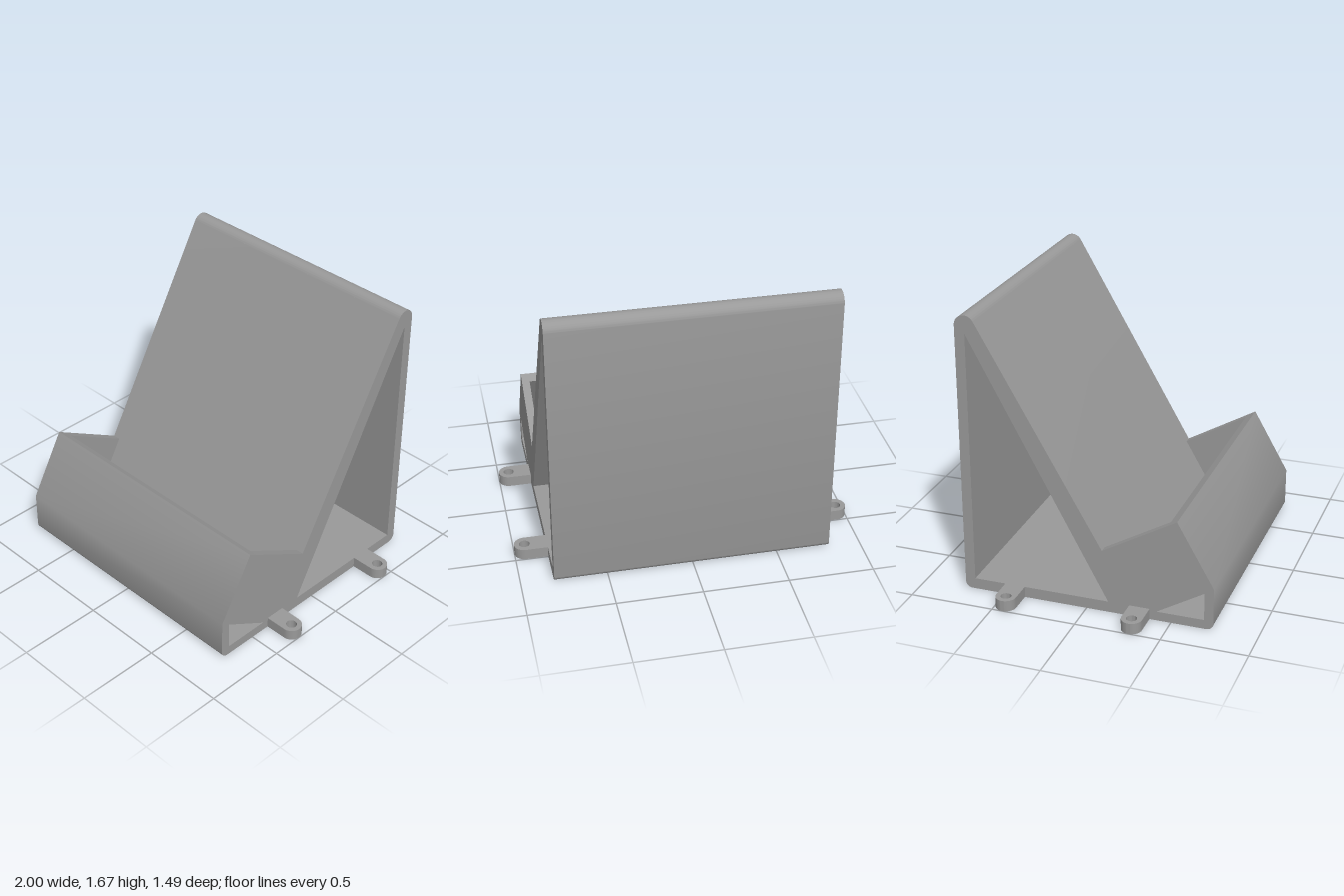
import * as THREE from 'three';
import { toCreasedNormals } from 'three/addons/utils/BufferGeometryUtils.js';

const HALF_WIDTH = 0.81;
const CHEEK = 0.047;

const polygon = (Type, points) => new Type(points.map(([a, b]) => new THREE.Vector2(a, b)));

const extrude = (shape, depth) =>
  new THREE.ExtrudeGeometry(shape, { depth, bevelEnabled: false, curveSegments: 20 });

// Extrudes a (z, y) side profile across x, starting at x0
function extrudeAcross(shape, x0, width) {
  const geometry = extrude(shape, width);
  geometry.rotateY(-Math.PI / 2).translate(x0 + width, 0, 0);
  return toCreasedNormals(geometry, 0.6);
}

export function createModel() {
  const group = new THREE.Group();
  const grey = new THREE.MeshStandardMaterial({ color: 0x999999 });
  const add = (name, geometry) => {
    const mesh = new THREE.Mesh(geometry, grey);
    mesh.name = name;
    group.add(mesh);
    return mesh;
  };

  // Pocket outline: back top, back bottom, front bottom, front top
  const pocket = [[0.095, 0.38], [0.28, 0.06], [0.664, 0.28], [0.48, 0.601]];

  // Stand body: base, upright back, sloping rest and front trough in one profile
  const r = 0.04;
  const body = new THREE.Shape();
  body.moveTo(-0.745 + r, 0);
  body.lineTo(0.745 - r, 0);
  body.absarc(0.745 - r, r, r, -Math.PI / 2, 0, false);
  body.lineTo(0.745, 0.255);
  body.lineTo(0.53, 0.63);
  [...pocket].reverse().forEach(([z, y]) => body.lineTo(z, y));
  body.lineTo(-0.633, 1.64);
  body.absarc(-0.685, 1.61, 0.06, Math.PI / 6, Math.PI, false);
  body.lineTo(-0.745, r);
  body.absarc(-0.745 + r, r, r, Math.PI, Math.PI * 1.5, false);
  // Triangular openings behind the rest and under the trough
  body.holes.push(
    polygon(THREE.Path, [[0.13, 0.065], [-0.685, 0.065], [-0.685, 1.565]]),
    polygon(THREE.Path, [[0.415, 0.055], [0.692, 0.055], [0.692, 0.22]])
  );
  add('standBody', extrudeAcross(body, -HALF_WIDTH, HALF_WIDTH * 2));

  // Cheeks closing the ends of the trough
  const cheek = polygon(THREE.Shape, pocket);
  add('leftCheek', extrudeAcross(cheek, HALF_WIDTH - CHEEK, CHEEK));
  add('rightCheek', extrudeAcross(cheek, -HALF_WIDTH, CHEEK));

  // Screw tabs with rounded ends and holes
  const tab = new THREE.Shape();
  tab.moveTo(HALF_WIDTH, -0.06);
  tab.lineTo(0.94, -0.06);
  tab.absarc(0.94, 0, 0.06, -Math.PI / 2, Math.PI / 2, false);
  tab.lineTo(HALF_WIDTH, 0.06);
  tab.closePath();
  tab.holes.push(new THREE.Path().absarc(0.94, 0, 0.031, 0, Math.PI * 2, true));
  const tabGeometry = toCreasedNormals(extrude(tab, 0.065).rotateX(-Math.PI / 2), 0.6);
  for (const [end, z] of [['front', 0.315], ['back', -0.437]]) {
    add(end + 'LeftTab', tabGeometry).position.z = z;
    const right = add(end + 'RightTab', tabGeometry);
    right.rotation.y = Math.PI;
    right.position.z = z;
  }
  return group;
}
